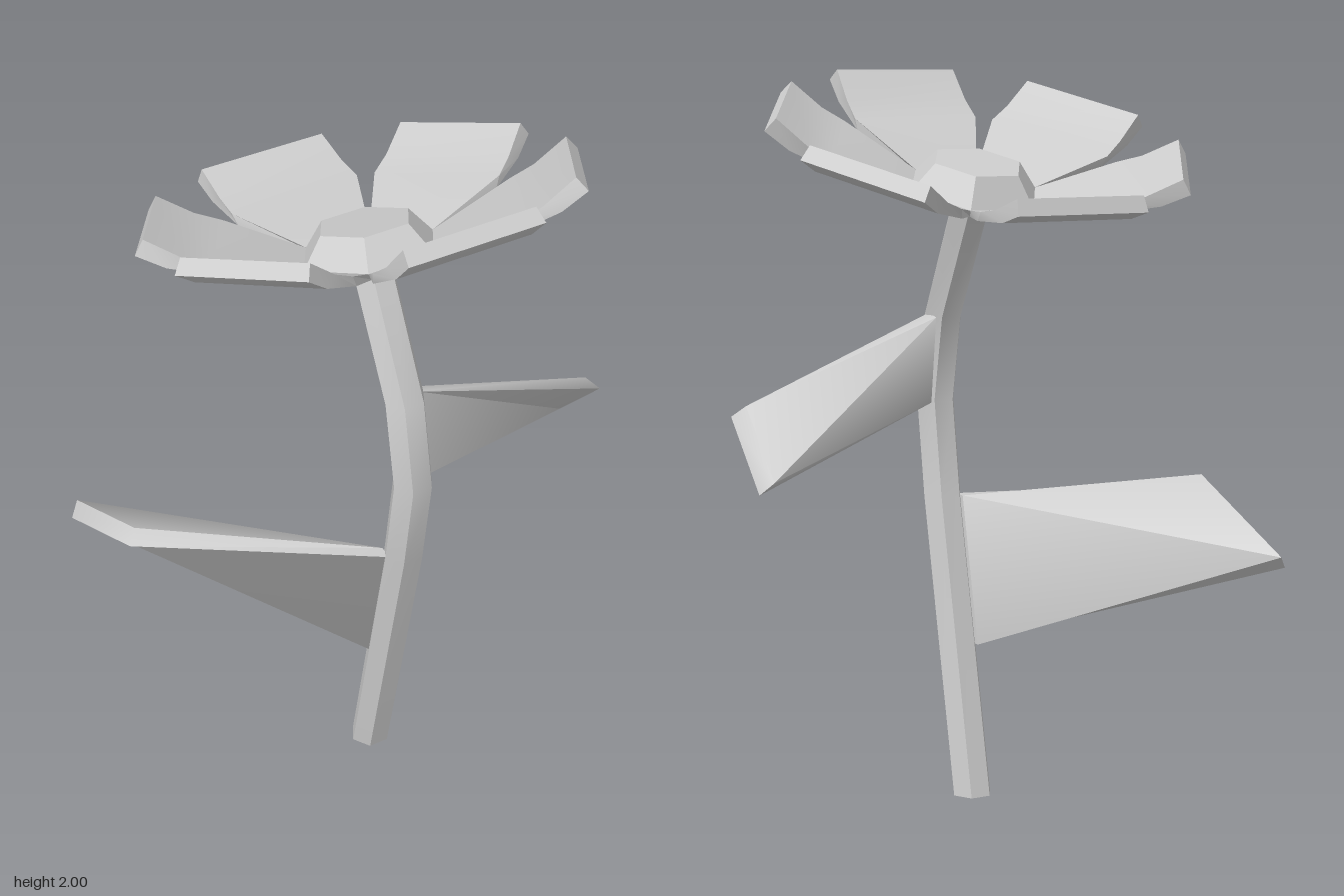
import * as THREE from 'three';
import { toCreasedNormals } from 'three/addons/utils/BufferGeometryUtils.js';

const material = new THREE.MeshStandardMaterial({ color: 0xcccccc });

// Closed solid through rings of [x, y, z], counter-clockwise about the travel direction
function loft(rings, crease = 0.5) {
  const n = rings[0].length, last = (rings.length - 1) * n, index = [];
  for (let i = 0; i < rings.length - 1; i++) {
    for (let j = 0; j < n; j++) {
      const a = i * n + j, b = i * n + (j + 1) % n;
      index.push(a, b, b + n, a, b + n, a + n);
    }
  }
  for (let j = 1; j < n - 1; j++) {
    index.push(0, j + 1, j, last, last + j, last + j + 1);
  }
  const g = new THREE.BufferGeometry();
  g.setAttribute('position', new THREE.Float32BufferAttribute(rings.flat(2), 3));
  g.setIndex(index);
  return toCreasedNormals(g, crease);
}

function addMesh(parent, name, geometry) {
  const mesh = new THREE.Mesh(geometry, material);
  mesh.name = name;
  parent.add(mesh);
  return mesh;
}

export function createModel() {
  const model = new THREE.Group();
  model.name = 'flower';
  const cx = -0.008, tilt = 0.3;

  // Bent six-sided stem: [y, z, ring tilt]
  const path = [[0, 0.053, 0], [0.82, 0.227, 0], [1.09, 0.268, 0], [1.33, 0.222, 0.1], [1.63, 0.067, tilt]];
  addMesh(model, 'stem', loft(path.map(([y, z, t]) =>
    Array.from({ length: 6 }, (_, i) => {
      const a = i * Math.PI / 3, d = -0.057 * Math.sin(a);
      return [cx + 0.057 * Math.cos(a), y + d * Math.sin(t), z + d * Math.cos(t)];
    }))));

  // Twisted leaves, from back outline to front outline, folded from inner top to outer bottom
  addMesh(model, 'leftLeaf', loft([
    [[0.035, 1.325, 0.18], [0.035, 1.085, 0.21], [0.62, 0.94, -0.03], [0.62, 1.12, 0.15]],
    [[0.035, 1.335, 0.222], [0.035, 1.08, 0.255], [0.65, 0.905, 0], [0.65, 1.09, 0.18]],
  ], 1.15));
  addMesh(model, 'rightLeaf', loft([
    [[-0.05, 0.82, 0.185], [-0.62, 0.885, -0.16], [-0.62, 0.715, -0.545], [-0.05, 0.41, 0.097]],
    [[-0.05, 0.82, 0.23], [-0.65, 0.855, -0.13], [-0.65, 0.68, -0.52], [-0.05, 0.41, 0.14]],
  ], 1.15));

  // Blossom, leaning back on the stem top
  const blossom = new THREE.Group();
  blossom.name = 'blossom';
  blossom.position.set(cx, 1.625, 0.06);
  blossom.rotation.x = -tilt;
  model.add(blossom);

  // Raised six-sided centre
  const centre = new THREE.CylinderGeometry(0.129, 0.19, 0.075, 6).rotateY(Math.PI / 2);
  addMesh(blossom, 'centre', toCreasedNormals(centre, 0.5)).position.y = 0.0975;

  // Petal sections: bottom distance, height, half width; then the same for the top
  const sections = [
    [0.05, 0, 0.029, 0.165, 0.06, 0.095],
    [0.36, 0.106, 0.185, 0.377, 0.137, 0.19],
    [0.49, 0.148, 0.189, 0.445, 0.167, 0.187],
    [0.561, 0.191, 0.19, 0.535, 0.228, 0.184],
  ];
  const petal = loft(sections.map(([ub, vb, wb, ut, vt, wt]) =>
    [[-wb, vb, ub], [wb, vb, ub], [wt, vt, ut], [-wt, vt, ut]]));
  for (let i = 0; i < 6; i++) {
    addMesh(blossom, 'petal', petal).rotation.y = i * Math.PI / 3;
  }
  return model;
}
